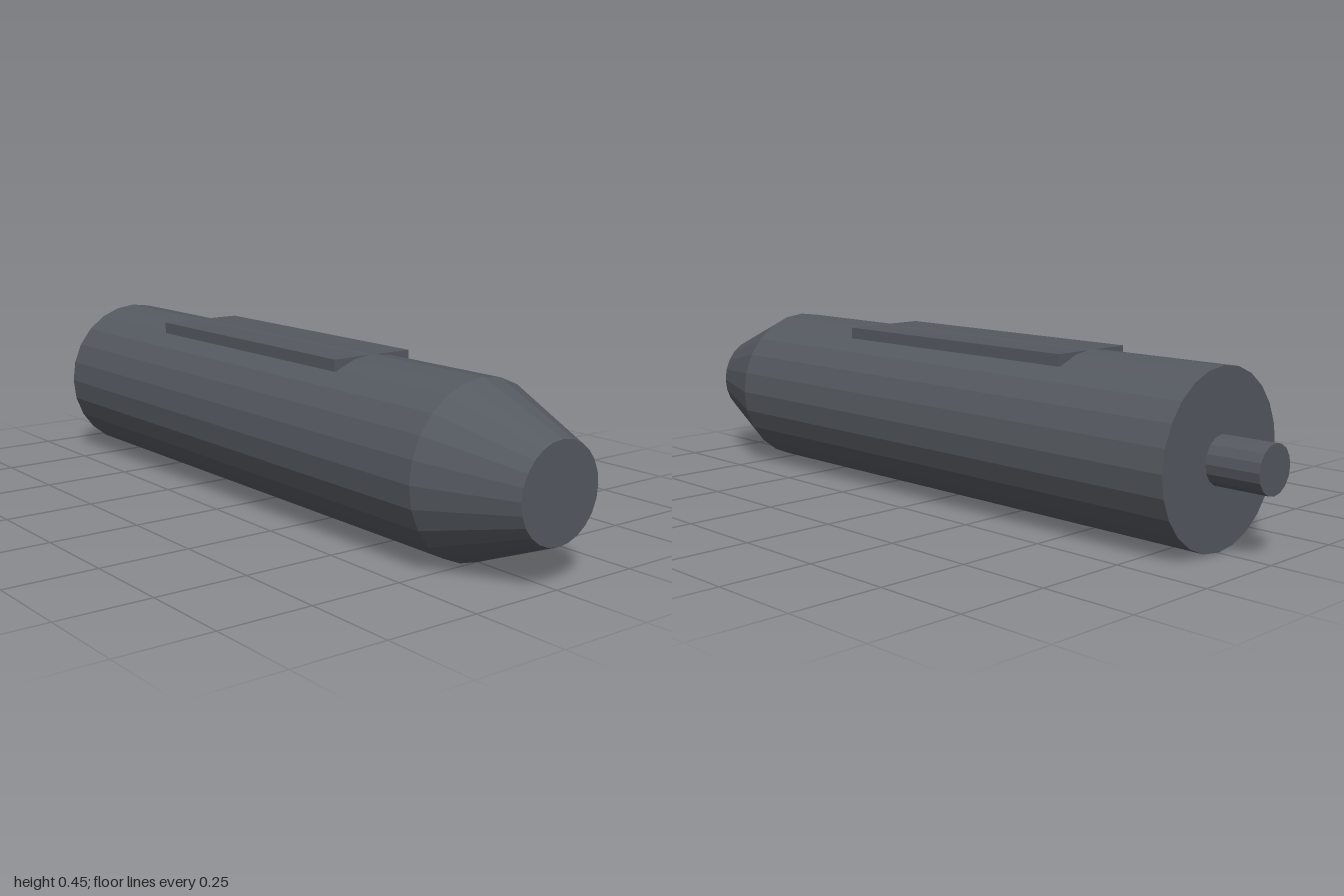
import * as THREE from 'three';

export function createModel() {
  const group = new THREE.Group();
  const steel = new THREE.MeshStandardMaterial({ color: 0x555960, flatShading: true });
  steel.name = 'dark steel';
  const axisY = 0.225;

  const add = (name, geometry, x, y) => {
    const mesh = new THREE.Mesh(geometry, steel);
    mesh.name = name;
    mesh.position.set(x, y, 0);
    group.add(mesh);
  };

  // Faceted cylinder or cone lying along x, from x0 to x1
  const addRound = (name, x0, x1, r0, r1, sides) => {
    const geometry = new THREE.CylinderGeometry(r1, r0, x1 - x0, sides);
    geometry.rotateZ(-Math.PI / 2);
    add(name, geometry, (x0 + x1) / 2, axisY);
  };

  addRound('body', -0.853, 0.75, 0.225, 0.225, 24);
  addRound('taperedNose', 0.75, 1, 0.225, 0.124, 24);
  addRound('rearPin', -1, -0.853, 0.0625, 0.0625, 16);

  // Flat plate set into the top of the body
  add('topPlate', new THREE.BoxGeometry(0.802, 0.031, 0.248), -0.05, 0.4328);

  return group;
}
